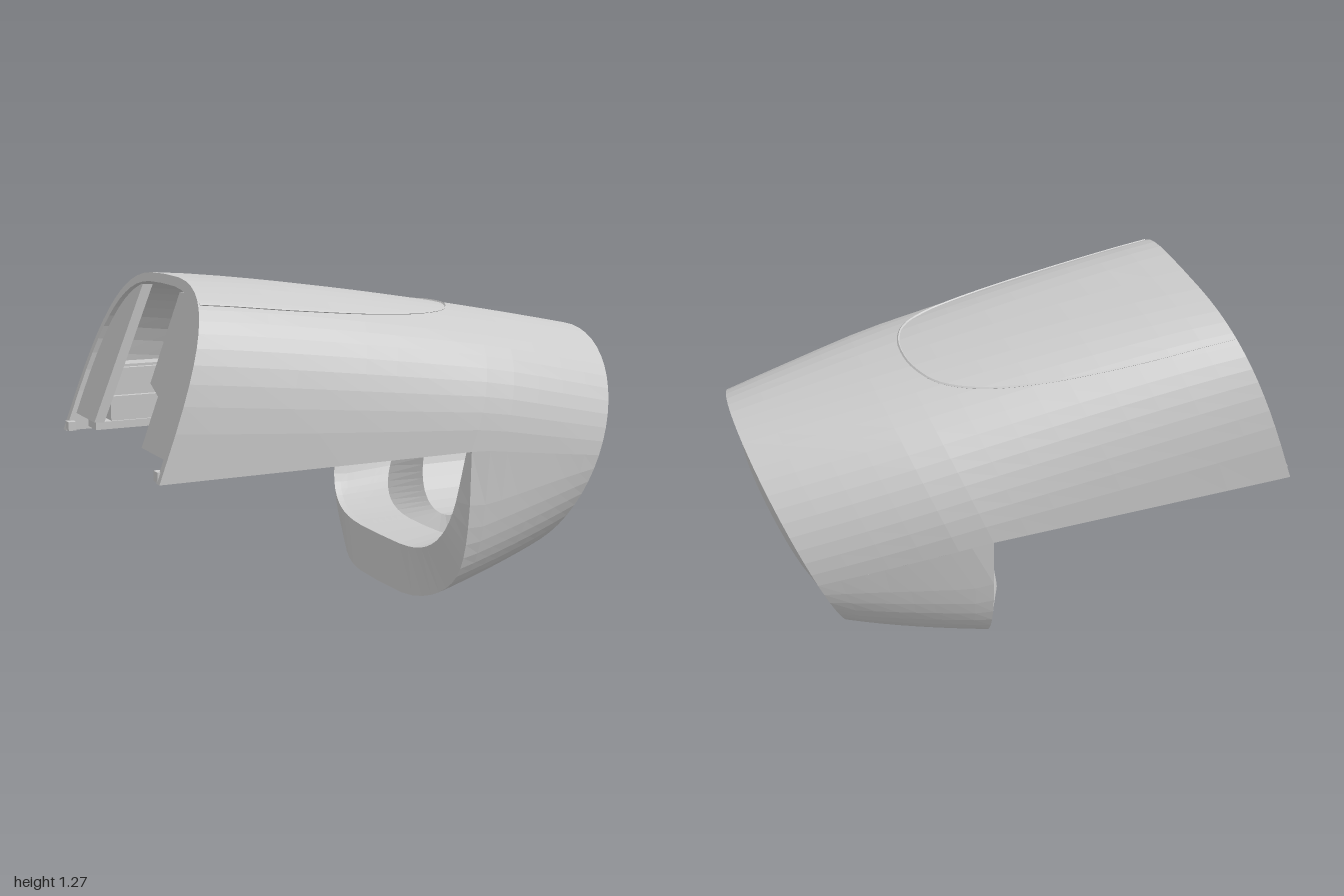
import * as THREE from 'three';

const material = new THREE.MeshStandardMaterial({ color: 0xcccccc, flatShading: true, side: THREE.DoubleSide });
const PI = Math.PI, SLANT = 0.37, REAR = -1, FRONT = 0.86, BULKHEAD = 0.55;
const clamp01 = (v) => Math.min(1, Math.max(0, v));
const spow = (v, p) => Math.sign(v) * Math.pow(Math.abs(v), p);
const lean = (u, y) => u + SLANT * (y - 0.63);

// Cross-section dimensions at station u; stations lean back with the end cuts
function section(u) {
  const s = clamp01((u - 0.25) / 0.61), t = clamp01((u + 1) / 1.86);
  return {
    cy: 0.63 - 0.085 * s,
    top: 1.272 - 0.262 * Math.pow(t, 1.3),
    bottom: 0.08 * clamp01((u - 0.35) / 0.51),
    w: 0.565 - 0.075 * Math.pow(s, 1.2),
    topPower: 3.2 - 1.2 * Math.pow(t, 0.85),
    lowPower: 3.8 - 1.8 * clamp01((u - 0.36) / 0.5),
  };
}

// Point on the outer skin, a squarish loop that turns round at the front
function outer(u, a) {
  const c = section(u), sin = Math.sin(a), up = sin > 0;
  const e = 2 / (up ? c.topPower : c.lowPower);
  const y = c.cy + spow(sin, e) * (up ? c.top - c.cy : c.cy - c.bottom);
  return new THREE.Vector3(lean(u, y), y, c.w * spow(Math.cos(a), e));
}

// Point on the inner skin, thicker under the nose
function inner(u, a) {
  const p = outer(u, a), cy = section(u).cy, low = p.y < cy - 1e-6;
  p.y = cy + (p.y - cy) * (low ? 0.68 : 0.95);
  p.z *= low ? 0.9 : 0.94;
  if (!low) p.x = lean(u, p.y);
  return p;
}

// Round bore through the nose
function bore(u, a) {
  const y = 0.52 + 0.27 * Math.sin(a);
  return new THREE.Vector3(lean(u, y), y, 0.28 * Math.cos(a));
}

// Station where the lower half begins, giving a nearly upright back edge
function lowStart(a, power) {
  const x = 0.19 - 0.07 * Math.pow(Math.abs(Math.sin(a)), power);
  return x + SLANT * (0.63 - outer(0.36, a).y);
}
const outerLow = (a) => lowStart(a, 6);
const innerLow = (a) => lowStart(a, 0.8);

// Surface from a rule f(i, j) with i and j running 0..1
function surface(name, ni, nj, f) {
  const pos = [], idx = [];
  for (let i = 0; i <= ni; i++) {
    for (let j = 0; j <= nj; j++) {
      pos.push(...f(i / ni, j / nj).toArray());
      if (i < ni && j < nj) {
        const k = i * (nj + 1) + j;
        idx.push(k, k + 1, k + nj + 1, k + 1, k + nj + 2, k + nj + 1);
      }
    }
  }
  const g = new THREE.BufferGeometry();
  g.setAttribute('position', new THREE.Float32BufferAttribute(pos, 3));
  g.setIndex(idx);
  g.computeVertexNormals();
  const m = new THREE.Mesh(g, material);
  m.name = name;
  return m;
}

function box(name, sx, sy, sz, x, y, z) {
  const m = new THREE.Mesh(new THREE.BoxGeometry(sx, sy, sz), material);
  m.position.set(x, y, z);
  m.name = name;
  return m;
}

// Height of the top skin above a plan position
function topHeight(x, z) {
  let y = 1.2;
  for (let i = 0; i < 12; i++) {
    const c = section(x - SLANT * (y - 0.63)), n = c.topPower;
    y = c.cy + (c.top - c.cy) * Math.pow(1 - Math.pow(Math.abs(z) / c.w, n), 1 / n);
  }
  return y;
}

export function createModel() {
  const group = new THREE.Group();
  const mix = THREE.MathUtils.lerp;
  const add = (...m) => group.add(...m);

  // Hood and nose skins, outside and inside
  for (const [name, f, start, end] of [['outer', outer, outerLow, FRONT], ['inner', inner, innerLow, BULKHEAD]]) {
    add(surface(name + 'Hood', 14, 28, (i, j) => f(mix(REAR, end, i), j * PI)));
    add(surface(name + 'NoseUnderside', 8, 28, (i, j) => {
      const a = PI + j * PI;
      return f(mix(start(a), end, i), a);
    }));
  }

  // Edges joining the two skins
  add(surface('rearEdge', 1, 28, (i, j) => outer(REAR, j * PI).lerp(inner(REAR, j * PI), i)));
  add(surface('noseBackEdge', 1, 28, (i, j) => {
    const a = PI + j * PI;
    return outer(outerLow(a), a).lerp(inner(innerLow(a), a), i);
  }));
  for (const a of [0, PI]) {
    add(surface('hoodLowerEdge', 1, 6, (i, j) => {
      const u = mix(REAR, 0.2, j);
      return outer(u, a).lerp(inner(u, a), i);
    }));
  }

  // Bulkhead and many-sided bore
  add(surface('bulkhead', 1, 56, (i, j) => inner(BULKHEAD, j * 2 * PI).lerp(bore(BULKHEAD, j * 2 * PI), i)));
  add(surface('bore', 2, 28, (i, j) => bore(mix(BULKHEAD, FRONT + 0.045, i), j * 2 * PI)));

  // Front rim and slightly coned face ring with a slot at the top
  const ringPoint = (a, rz, ry, lift) => {
    const y = 0.54 + ry * Math.sin(a);
    return new THREE.Vector3(lean(FRONT, y) + lift, y, rz * Math.cos(a));
  };
  add(surface('frontRim', 1, 56, (i, j) => {
    const a = j * 2 * PI;
    return outer(FRONT, a).lerp(ringPoint(a, 0.462, 0.43, 0), i);
  }));
  add(surface('faceGroove', 1, 56, (i, j) => ringPoint(j * 2 * PI, 0.462, 0.43, -0.02 * i)));
  const slot = 0.065, slotDepth = 0.54;
  const facePoint = (a, t) => ringPoint(a, 0.46, 0.428, 0).lerp(bore(FRONT + 0.045, a), t);
  const gapStart = PI / 2 + slot, gapSpan = 2 * PI - 2 * slot;
  add(surface('faceRing', 2, 54, (i, j) => facePoint(gapStart + j * gapSpan, i)));
  const slotPoint = (i, j, drop) => {
    const p = facePoint(PI / 2 + mix(-slot, slot, j), i);
    p.x -= drop;
    return p;
  };
  add(surface('faceBelowSlot', 1, 2, (i, j) => slotPoint(mix(slotDepth, 1, i), j, 0)));
  add(surface('slotFloor', 1, 2, (i, j) => slotPoint(i * slotDepth, j, 0.04)));
  add(surface('slotEnd', 1, 2, (i, j) => slotPoint(slotDepth, j, 0.04 * i)));
  for (const side of [0, 1]) {
    add(surface('slotSide', 1, 1, (i, j) => slotPoint(i * slotDepth, side, 0.04 * j)));
  }

  // Seam of the top cover, a rounded tongue shape
  const half = [[-0.785, 0.4], [-0.4, 0.385], [-0.05, 0.345], [0.17, 0.285], [0.29, 0.205], [0.343, 0.1]];
  const plan = [...half, [0.355, 0], ...half.map(([x, z]) => [x, -z]).reverse()];
  const planCurve = new THREE.CatmullRomCurve3(plan.map(([x, z]) => new THREE.Vector3(x, 0, z)));
  const seamPath = new THREE.CatmullRomCurve3(
    planCurve.getPoints(40).map((p) => p.setY(topHeight(p.x, p.z))));
  const seam = new THREE.Mesh(new THREE.TubeGeometry(seamPath, 90, 0.005, 4), material);
  seam.name = 'coverSeam';
  add(seam);

  for (const side of [1, -1]) {
    // Rear end plates inside the slanted opening; the left one steps inward near the top
    const plateEdge = (y) => (side < 0 ? mix(0.29, 0.25, (y - 0.7) / 0.5) : y < 0.88 ? 0.26 : 0.15);
    const plate = (u, j, t) => {
      const p = inner(u, mix(0.03, 1.24, j));
      p.z = side * mix(p.z, plateEdge(p.y), t);
      return p;
    };
    add(surface('endPlateBack', 1, 24, (i, j) => plate(-0.98, j, i)));
    add(surface('endPlateFront', 1, 24, (i, j) => plate(-0.94, j, i)));
    add(surface('endPlateInnerEdge', 1, 24, (i, j) => plate(mix(-0.98, -0.94, i), j, 1)));
    add(surface('endPlateFoot', 1, 1, (i, j) => plate(mix(-0.98, -0.94, i), 0, j)));

    // Thick inner wall with guide rails, and small locating tabs at the rear
    add(box('innerWall', 0.98, 0.25, 0.1, -0.36, 0.77, side * 0.465));
    add(box('lowerRail', 1.05, 0.03, 0.1, -0.39, 0.66, side * 0.455));
    add(box('middleRail', 1.0, 0.03, 0.03, -0.36, 0.76, side * 0.405));
    add(box('upperRail', 0.95, 0.03, 0.03, -0.34, 0.87, side * 0.405));
    add(box('rearTab', 0.03, 0.035, 0.04, -0.982, 0.65, side * 0.52));
  }
  return group;
}
